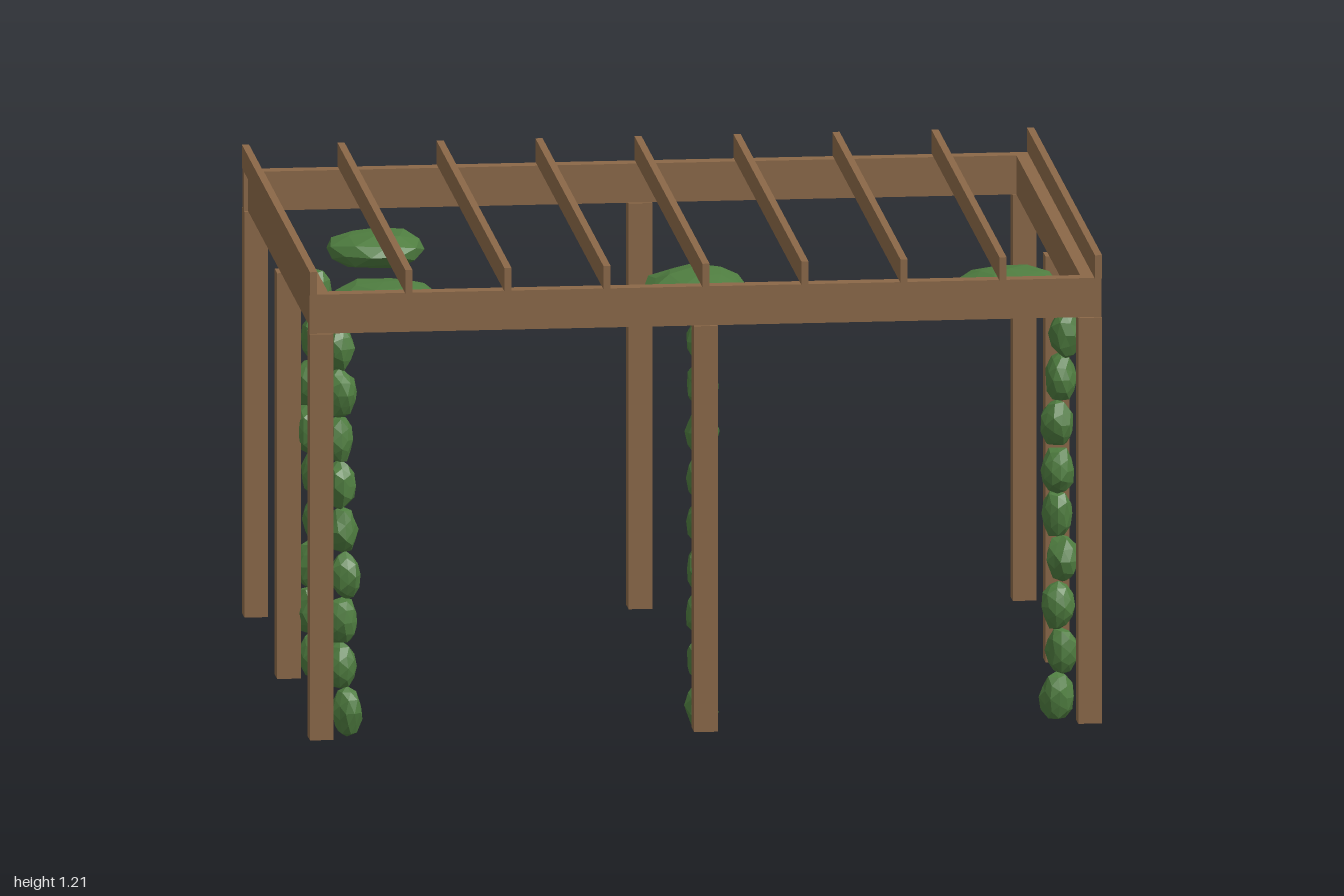
import * as THREE from 'three';

// Small seeded random numbers
function seeded(seed) {
  let s = seed;
  return () => {
    s = (s * 16807) % 2147483647;
    return s / 2147483647;
  };
}

export function createModel() {
  const model = new THREE.Group();
  model.name = 'pergola';
  const wood = new THREE.MeshStandardMaterial({ color: 0x8b6848 });
  wood.name = 'wood brown';
  const green = new THREE.MeshStandardMaterial({ color: 0x4f7d40, flatShading: true });
  green.name = 'leaf green';
  const rand = seeded(4127);
  const jitter = (amount) => (rand() - 0.5) * 2 * amount;

  function box(name, w, h, d, x, y, z) {
    const mesh = new THREE.Mesh(new THREE.BoxGeometry(w, h, d), wood);
    mesh.name = name;
    mesh.position.set(x, y, z);
    model.add(mesh);
  }

  // Faceted leaf clump: an icosphere whose shared corners move in or out together
  function clump(name, parent, x, y, z, rx, ry, rz) {
    const geometry = new THREE.IcosahedronGeometry(1, 1);
    const pos = geometry.attributes.position;
    const moved = new Map();
    const v = new THREE.Vector3();
    const turn = rand() * 6;
    for (let i = 0; i < pos.count; i++) {
      v.fromBufferAttribute(pos, i);
      const key = [v.x, v.y, v.z].map((n) => Math.round(n * 100)).join();
      if (!moved.has(key)) moved.set(key, 0.94 + jitter(0.09));
      v.multiplyScalar(moved.get(key)).applyAxisAngle(THREE.Object3D.DEFAULT_UP, turn);
      pos.setXYZ(i, v.x * rx, v.y * ry, v.z * rz);
    }
    geometry.computeVertexNormals();
    const mesh = new THREE.Mesh(geometry, green);
    mesh.name = name;
    mesh.position.set(x, y, z);
    parent.add(mesh);
  }

  // Posts at the corners and the middle of each side
  for (const i of [-1, 0, 1]) {
    for (const k of [-1, 0, 1]) {
      if (i || k) box('post', 0.06, 1.04, 0.06, i * 0.97, 0.54, k * 0.77);
    }
  }

  // Perimeter beams
  for (const s of [-1, 1]) {
    box('longBeam', 2, 0.1, 0.04, 0, 1.11, s * 0.77);
    box('sideBeam', 0.04, 0.1, 1.5, s * 0.97, 1.11, 0);
  }

  // Rafters
  for (let i = -4; i <= 4; i++) {
    const x = Math.abs(i) === 4 ? Math.sign(i) * 0.991 : i * 0.25;
    box('rafter', 0.018, 0.06, 1.6, x, 1.19, 0);
  }

  // Climbing vines: [x, z] of each stem
  for (const [x, z] of [[-0.905, 0.7], [0.905, 0.7], [0, 0.705], [-0.905, 0]]) {
    const vine = new THREE.Group();
    vine.name = 'vine';
    for (let i = 0; i < 9; i++) {
      const r = 0.044 + jitter(0.003);
      const dx = x ? jitter(0.013) : 0;
      const dz = z ? jitter(0.013) : 0;
      clump('vineClump', vine, x + dx, 0.072 + i * 0.1165, z + dz, r, 0.066, r);
    }
    model.add(vine);
  }

  // Flattened leaf canopies under the rafters: [x, y, z, radius]
  for (const [x, y, z, r] of [
    [-0.795, 1.11, 0.625, 0.15], [0.785, 1.11, 0.63, 0.138],
    [0, 1.11, 0.55, 0.137], [-0.75, 1.113, 0.004, 0.133],
  ]) clump('canopyClump', model, x, y, z, r, 0.052, r);

  return model;
}
